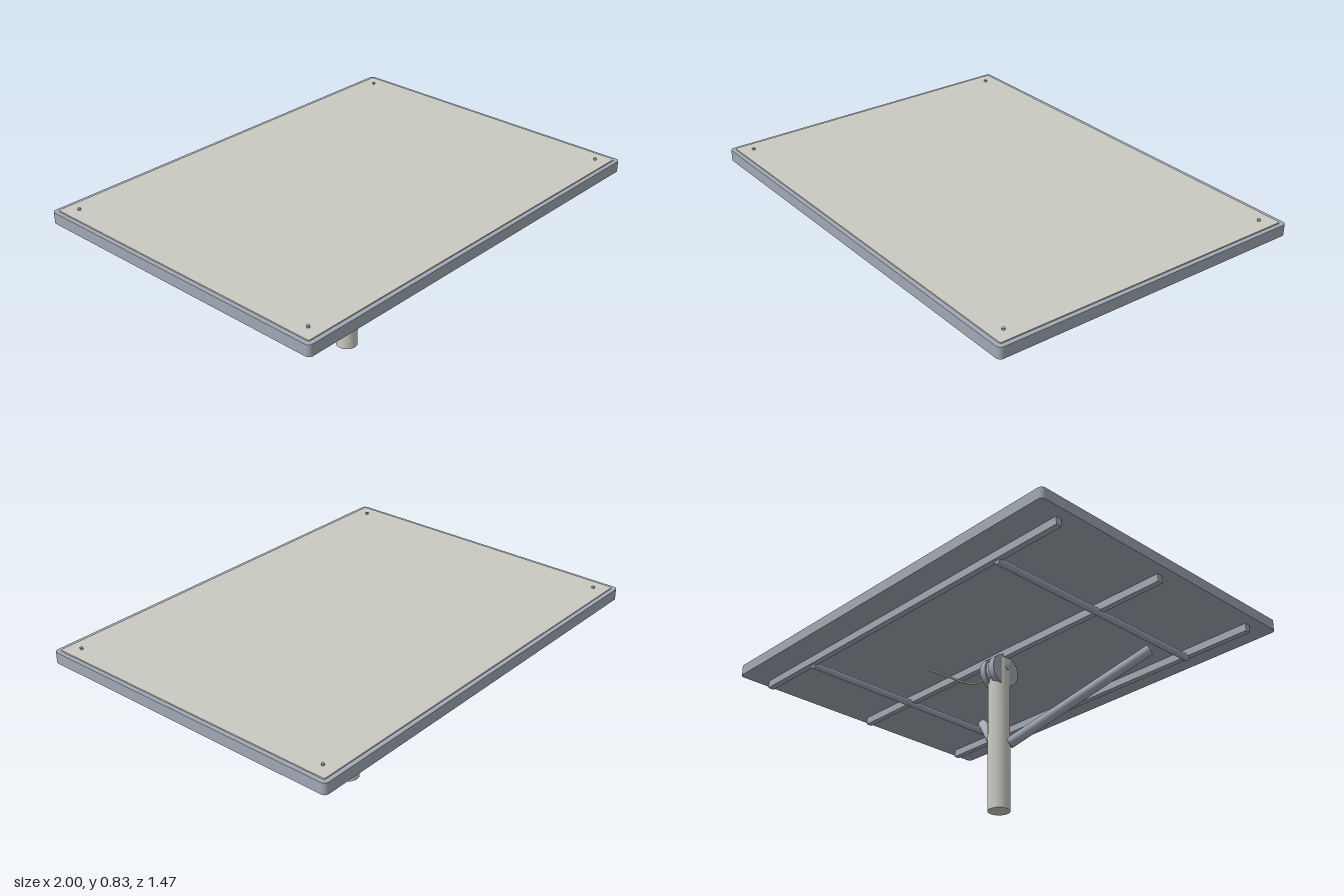
import * as THREE from 'three';

export function createModel() {
  const group = new THREE.Group();
  const mat = (name, color) => {
    const m = new THREE.MeshStandardMaterial({ color });
    m.name = name;
    return m;
  };
  const steel = mat('blue grey steel', 0xa1a8b4);
  const light = mat('warm light grey', 0xcacac1);

  const add = (name, geometry, material, x = 0, y = 0, z = 0) => {
    const mesh = new THREE.Mesh(geometry, material);
    mesh.name = name;
    mesh.position.set(x, y, z);
    group.add(mesh);
    return mesh;
  };

  // Rod between two points
  const rod = (name, a, b, radius, material) => {
    const dir = b.clone().sub(a);
    const mesh = add(name, new THREE.CylinderGeometry(radius, radius, dir.length(), 28), material);
    mesh.position.copy(a).add(b).multiplyScalar(0.5);
    mesh.quaternion.setFromUnitVectors(new THREE.Vector3(0, 1, 0), dir.normalize());
    return mesh;
  };

  // Horizontal slab with rounded corners, from its underside upwards
  const slab = (halfX, halfZ, r, height) => {
    const s = new THREE.Shape();
    s.absarc(halfX - r, halfZ - r, r, 0, Math.PI / 2);
    s.absarc(r - halfX, halfZ - r, r, Math.PI / 2, Math.PI);
    s.absarc(r - halfX, r - halfZ, r, Math.PI, Math.PI * 1.5);
    s.absarc(halfX - r, r - halfZ, r, Math.PI * 1.5, Math.PI * 2);
    s.closePath();
    return new THREE.ExtrudeGeometry(s, { depth: height, bevelEnabled: false, curveSegments: 6 })
      .rotateX(-Math.PI / 2);
  };

  // Table top: steel tray with a light surface sheet
  add('topFrame', slab(1, 0.735, 0.02, 0.051), steel, 0, 0.766, 0);
  add('topSurface', slab(0.98, 0.715, 0.008, 0.006), light, 0, 0.816, 0);
  for (const x of [-0.92, 0.92]) for (const z of [-0.655, 0.655])
    add('screw', new THREE.CylinderGeometry(0.007, 0.007, 0.01, 16), steel, x, 0.825, z);

  // Rails under the top
  for (const z of [-0.593, 0, 0.593])
    add('crossRail', new THREE.BoxGeometry(1.9, 0.036, 0.028), steel, 0, 0.748, z);
  for (const x of [-0.612, 0.612])
    rod('longRail', new THREE.Vector3(x, 0.73, -0.593), new THREE.Vector3(x, 0.73, 0.593), 0.016, steel);

  // Post and tilting hinge
  add('post', new THREE.CylinderGeometry(0.05, 0.05, 0.73, 40), light, 0, 0.365, 0);
  for (const x of [-0.028, 0.028])
    add('hingeDisc', new THREE.CylinderGeometry(0.077, 0.077, 0.032, 40).rotateZ(Math.PI / 2), steel, x, 0.67, 0);
  add('hingeCore', new THREE.CylinderGeometry(0.068, 0.068, 0.03, 40).rotateZ(Math.PI / 2), steel, 0, 0.67, 0);

  // Diagonal braces towards the front
  for (const s of [-1, 1])
    rod('brace', new THREE.Vector3(s * 0.038, 0.316, 0.025), new THREE.Vector3(s * 0.545, 0.728, 0.41), 0.025, steel);

  // Bent locking lever on the left side
  const path = new THREE.CurvePath();
  const p = [[0.03, 0.682, 0.005], [0.14, 0.678, 0.005], [0.19, 0.677, 0], [0.21, 0.69, -0.05], [0.27, 0.722, -0.18]]
    .map(c => new THREE.Vector3(...c));
  path.add(new THREE.LineCurve3(p[0], p[1]));
  path.add(new THREE.QuadraticBezierCurve3(p[1], p[2], p[3]));
  path.add(new THREE.LineCurve3(p[3], p[4]));
  add('lever', new THREE.TubeGeometry(path, 40, 0.005, 10), light);
  add('leverTip', new THREE.SphereGeometry(0.005, 12, 8), light, 0.27, 0.722, -0.18);
  // Pivot bolt through the hinge
  add('pivotBolt', new THREE.CylinderGeometry(0.011, 0.011, 0.112, 16).rotateZ(Math.PI / 2), light, 0, 0.681, 0.005);

  return group;
}
